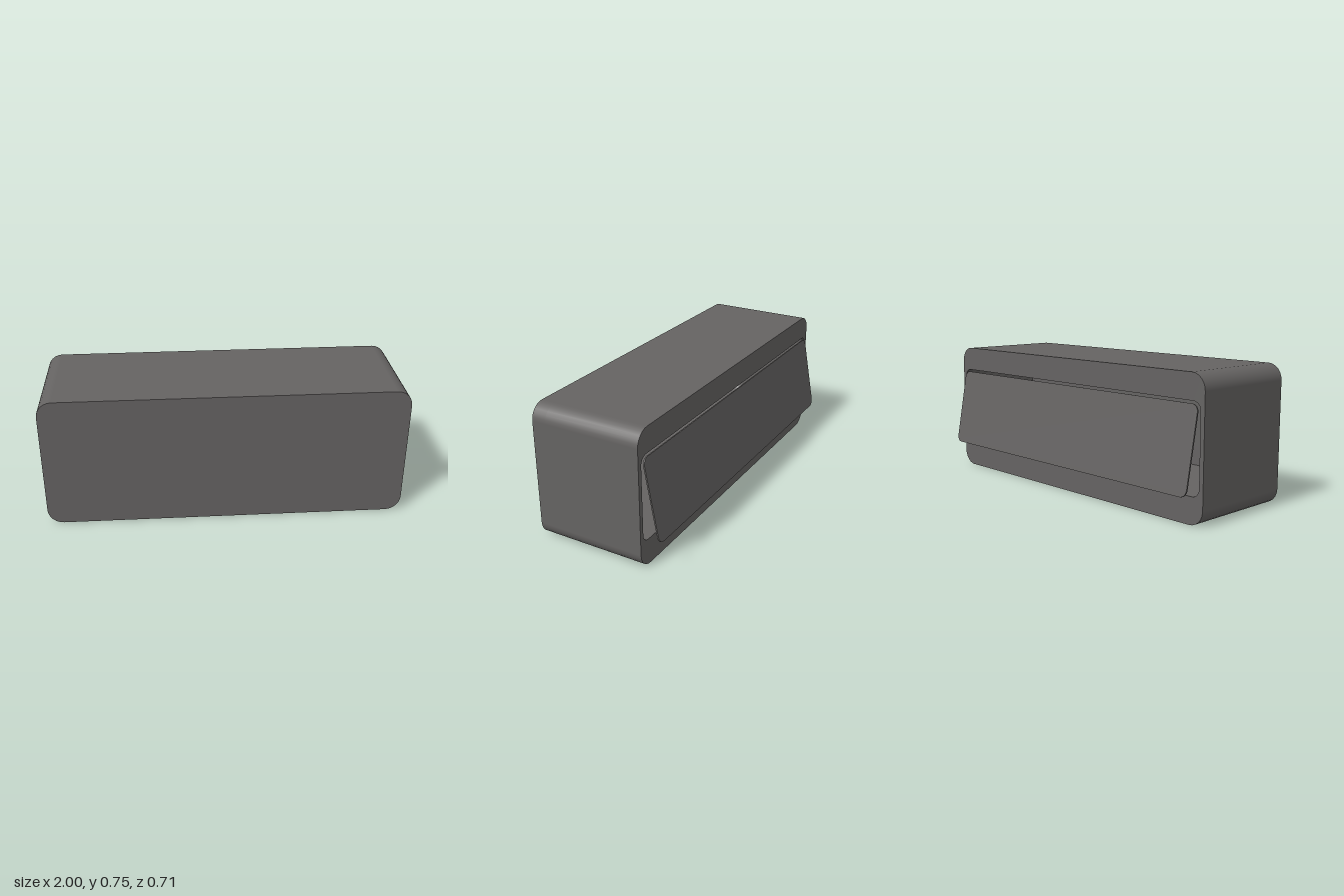
import * as THREE from 'three';

const W = 2, H = 0.755, BACK = -0.265, FRONT = 0.355, R = 0.085;

// Rounded rectangle centred on (0, cy)
function roundedRect(w, h, r, cy = 0, Type = THREE.Shape) {
  const s = new Type(), x = w / 2, y0 = cy - h / 2, y1 = cy + h / 2;
  s.moveTo(-x + r, y0);
  s.lineTo(x - r, y0);
  s.absarc(x - r, y0 + r, r, -Math.PI / 2, 0, false);
  s.lineTo(x, y1 - r);
  s.absarc(x - r, y1 - r, r, 0, Math.PI / 2, false);
  s.lineTo(-x + r, y1);
  s.absarc(-x + r, y1 - r, r, Math.PI / 2, Math.PI, false);
  s.lineTo(-x, y0 + r);
  s.absarc(-x + r, y0 + r, r, Math.PI, Math.PI * 1.5, false);
  return s;
}

// Section of the case from z0 to z1, with smooth normals round the outer corners
function caseSection(z0, z1, hole) {
  const shape = roundedRect(W, H, R, H / 2);
  if (hole) shape.holes.push(hole);
  const geo = new THREE.ExtrudeGeometry(shape, { depth: z1 - z0, bevelEnabled: false, curveSegments: 3 });
  geo.translate(0, 0, z0);
  const p = geo.attributes.position, n = geo.attributes.normal;
  const v = new THREE.Vector2(), c = new THREE.Vector2();
  const lo = new THREE.Vector2(-W / 2 + R, R), hi = new THREE.Vector2(W / 2 - R, H - R);
  for (let i = 0; i < p.count; i++) {
    if (Math.abs(n.getZ(i)) > 0.5) continue;
    v.set(p.getX(i), p.getY(i));
    c.copy(v).clamp(lo, hi);
    v.sub(c);
    if (Math.abs(v.length() - R) > 0.002) continue; // opening walls stay as they are
    v.normalize();
    n.setXYZ(i, v.x, v.y, 0);
  }
  return geo;
}

export function createModel() {
  const group = new THREE.Group();
  const grey = new THREE.MeshStandardMaterial({ color: 0x656362 });
  grey.name = 'warmGrey';

  const add = (name, geo) => {
    const mesh = new THREE.Mesh(geo, grey);
    mesh.name = name;
    group.add(mesh);
    return mesh;
  };

  // Hollow case, open at the back, closed by a thick front panel
  const floorZ = 0.275;
  const opening = roundedRect(1.95, 0.472, 0.045, 0.381, THREE.Path);
  add('hollowCase', caseSection(BACK, floorZ, opening));
  add('frontPanel', caseSection(floorZ, FRONT));

  // Thin flap hinged at the top of the opening and swung outwards
  const flapGeo = new THREE.ExtrudeGeometry(roundedRect(1.93, 0.453, 0.04), {
    depth: 0.008, bevelEnabled: false, curveSegments: 4,
  });
  flapGeo.translate(0, 0, -0.004);
  const flap = add('backFlap', flapGeo);
  flap.position.set(0, 0.381, -0.308);
  flap.rotation.x = Math.atan2(0.082, 0.445);

  return group;
}
